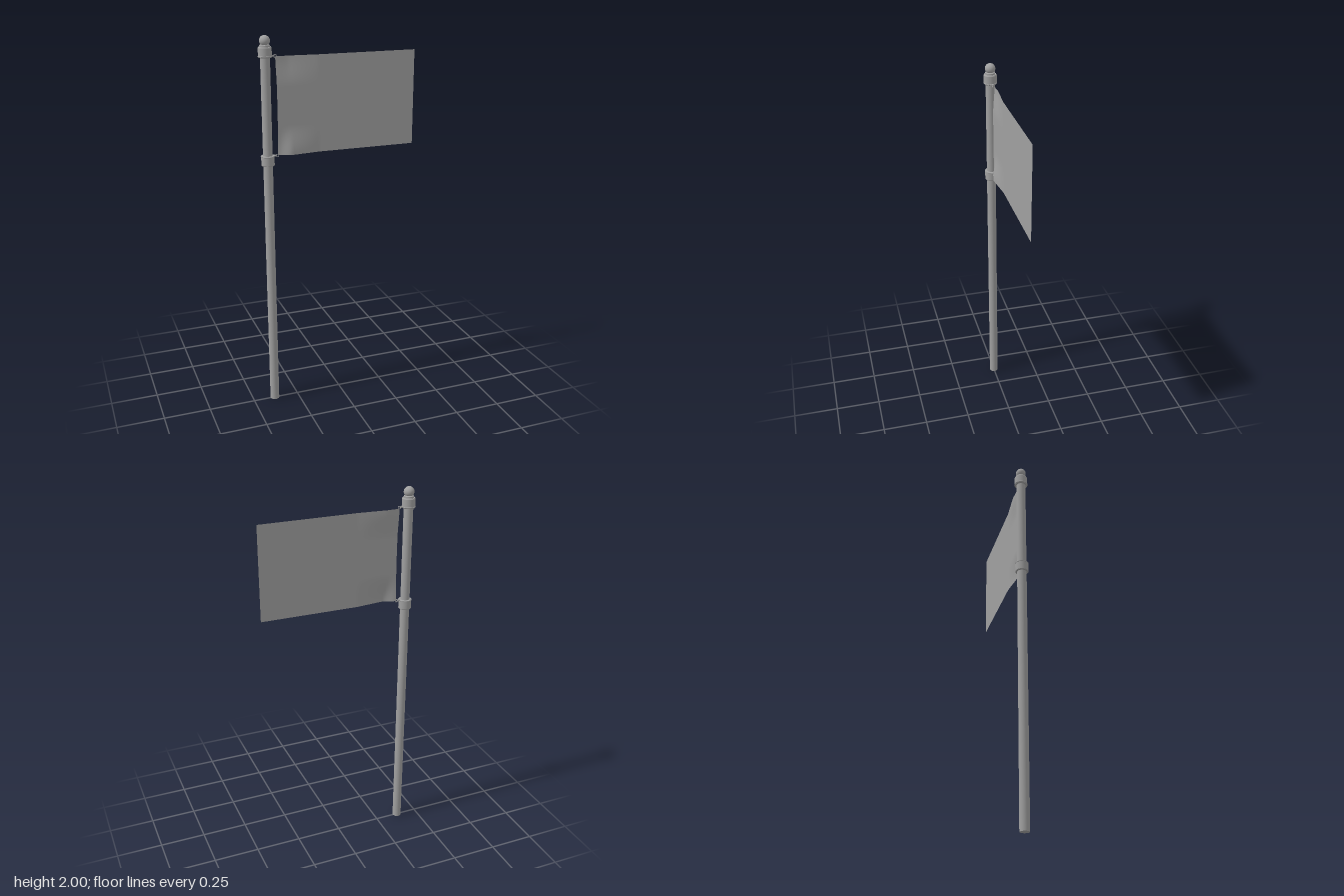
import * as THREE from 'three';

const POLE_X = -0.382;
const grey = new THREE.MeshStandardMaterial({ color: 0xa0a0a0 });
const cloth = new THREE.MeshStandardMaterial({ color: 0xa0a0a0, side: THREE.DoubleSide });

function add(parent, name, geometry, x, y, z = 0, material = grey) {
  const mesh = new THREE.Mesh(geometry, material);
  mesh.name = name;
  mesh.position.set(x, y, z);
  parent.add(mesh);
  return mesh;
}

// Turned part with crisp edges: each pair of profile points is its own band
function turned(points) {
  const profile = points.flatMap(([r, y], i) => {
    const p = new THREE.Vector2(r, y);
    return i > 0 && i < points.length - 1 ? [p, p.clone()] : [p];
  });
  return new THREE.LatheGeometry(profile, 32);
}

// Collar with a thin clamp ring and a two-plate hook for the flag corner
function collar(name, y, ringY) {
  const group = new THREE.Group();
  group.name = name;
  add(group, 'collarBody', turned([
    [0.02, 0], [0.032, 0], [0.034, 0.003], [0.034, 0.047], [0.031, 0.052], [0.02, 0.052],
  ]), POLE_X, y);
  const clamp = add(group, 'clampRing', new THREE.TorusGeometry(0.033, 0.003, 8, 32), POLE_X, ringY);
  clamp.rotation.x = Math.PI / 2;
  for (const side of [-1, 1]) {
    add(group, 'hookPlate', new THREE.BoxGeometry(0.016, 0.006, 0.003), -0.343, ringY, side * 0.006);
  }
  const pin = add(group, 'hookPin', new THREE.CylinderGeometry(0.002, 0.002, 0.016, 8), -0.338, ringY);
  pin.rotation.x = Math.PI / 2;
  add(group, 'hookLink', new THREE.TorusGeometry(0.007, 0.002, 8, 16), -0.331, ringY - 0.001);
  return group;
}

// Flag cloth: flat at the fly end, gently pulled out of plane at the hoist corners
function flagGeometry() {
  const width = 0.748, height = 0.498;
  const geo = new THREE.PlaneGeometry(width, height, 64, 40);
  const pos = geo.attributes.position;
  // smooth fold: starts at one offset on the hoist, peaks, then fades out
  const fold = (d, start, peak) => (d < 0.07
    ? THREE.MathUtils.lerp(start, peak, THREE.MathUtils.smoothstep(d, 0, 0.07))
    : peak * Math.max(0, 1 - (d - 0.07) / 0.15));
  const fade = (t) => 1 - THREE.MathUtils.smoothstep(t, 0, 0.3);
  for (let i = 0; i < pos.count; i++) {
    const u = pos.getX(i) / width + 0.5;
    const v = pos.getY(i) / height + 0.5;
    const d = u * width;
    const along = Math.max(0, 1 - d / 0.22);
    pos.setZ(i, fade(1 - v) * fold(d, -0.009, -0.012) + fade(v) * fold(d, -0.004, 0.018));
    // hoist edge hangs slightly slack between its corners
    pos.setX(i, pos.getX(i) + 0.003 * Math.sin(Math.PI * v) * along);
  }
  geo.computeVertexNormals();
  return geo;
}

export function createModel() {
  const model = new THREE.Group();
  model.name = 'flagpole';

  add(model, 'pole', new THREE.CylinderGeometry(0.0245, 0.0245, 1.93, 32), POLE_X, 0.965);

  // Ball finial on a short neck
  add(model, 'finialNeck', turned([[0.026, 1.94], [0.026, 1.952], [0.018, 1.957], [0, 1.957]]), POLE_X, 0);
  add(model, 'finialBall', new THREE.SphereGeometry(0.027, 32, 20), POLE_X, 1.973);

  model.add(collar('upperCollar', 1.892, 1.898));
  model.add(collar('lowerCollar', 1.348, 1.397));

  add(model, 'flag', flagGeometry(), 0.046, 1.645, 0, cloth);
  return model;
}
